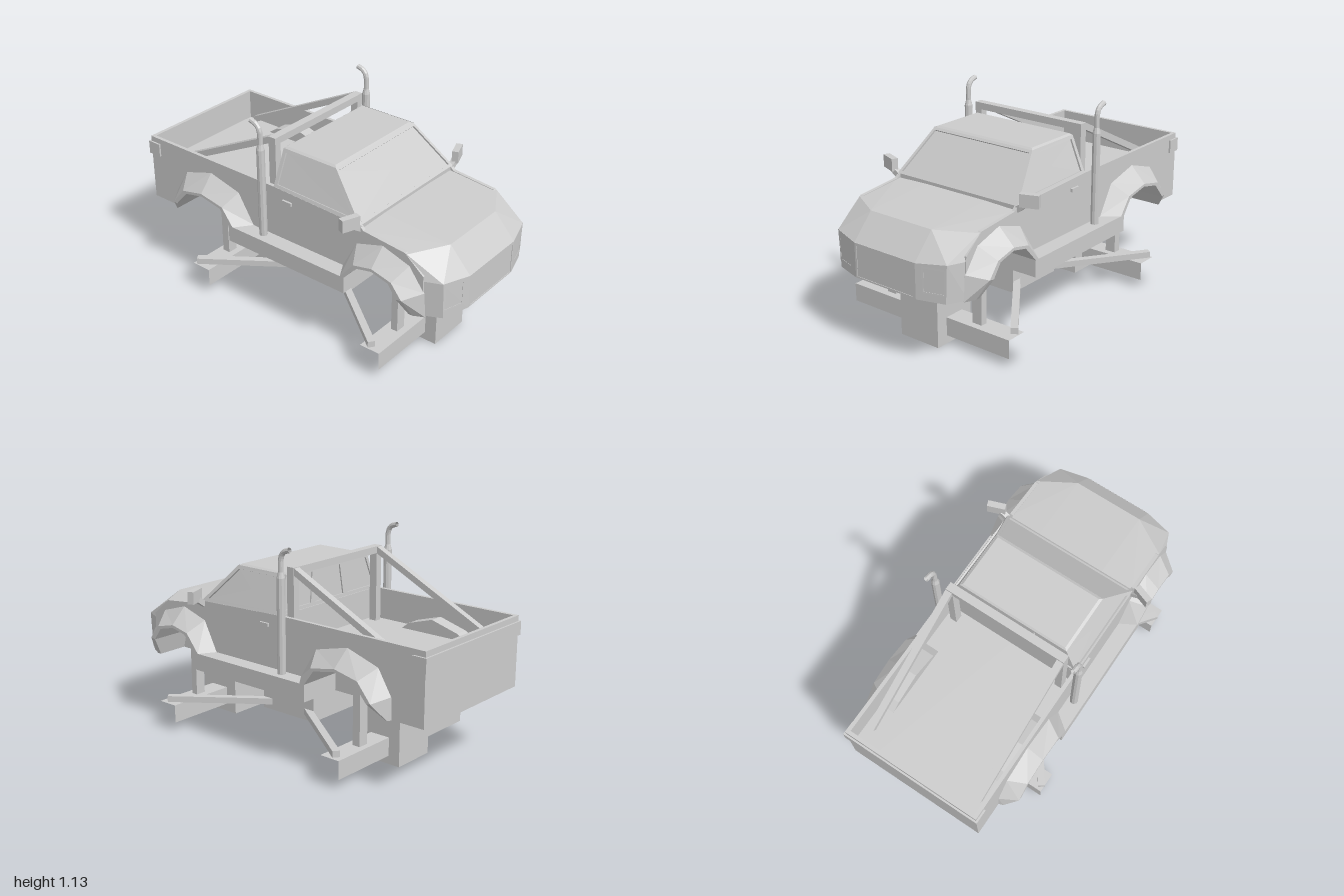
import * as THREE from 'three';
import { ConvexGeometry } from 'three/addons/geometries/ConvexGeometry.js';

const V = (x, y, z) => new THREE.Vector3(x, y, z);
const mat = new THREE.MeshStandardMaterial({ color: 0xcccccc, flatShading: true });
const matDouble = new THREE.MeshStandardMaterial({ color: 0xcccccc, flatShading: true, side: THREE.DoubleSide });

function add(parent, name, geometry, material = mat) {
  const mesh = new THREE.Mesh(geometry, material);
  mesh.name = name;
  parent.add(mesh);
  return mesh;
}

// Box given by its min and max on each axis
function box(parent, name, x0, x1, y0, y1, z0, z1) {
  const g = new THREE.BoxGeometry(x1 - x0, y1 - y0, z1 - z0);
  return add(parent, name, g.translate((x0 + x1) / 2, (y0 + y1) / 2, (z0 + z1) / 2));
}

// Side outline of [z, y] points, extruded between two x positions
function sideExtrude(points, x0, x1, hole) {
  const shape = new THREE.Shape(points.map(p => new THREE.Vector2(...p)));
  if (hole) shape.holes.push(new THREE.Path(hole.map(p => new THREE.Vector2(...p))));
  const g = new THREE.ExtrudeGeometry(shape, { depth: x1 - x0, bevelEnabled: false });
  return g.rotateY(-Math.PI / 2).translate(x1, 0, 0);
}

// Convex solid, symmetric in x, from points on the +x half
function symmetricHull(points) {
  return new ConvexGeometry(points.flatMap(([x, y, z]) => [V(x, y, z), V(-x, y, z)]));
}

// Square bar between two points
function bar(parent, name, a, b, w, h = w) {
  const mesh = add(parent, name, new THREE.BoxGeometry(w, h, a.distanceTo(b)));
  mesh.position.copy(a).lerp(b, 0.5);
  mesh.lookAt(b);
  return mesh;
}

// Surface through rows of points
function loft(rows, closed = false) {
  const n = rows[0].length, index = [];
  for (let i = 0; i + 1 < rows.length; i++)
    for (let j = 0; j < (closed ? n : n - 1); j++) {
      const a = i * n + j, b = i * n + (j + 1) % n;
      index.push(a, b, b + n, a, b + n, a + n);
    }
  return { points: rows.flat(), index };
}
function toGeometry({ points, index }) {
  const g = new THREE.BufferGeometry().setFromPoints(points);
  g.setIndex(index);
  const flat = g.toNonIndexed();
  flat.computeVertexNormals();
  return flat;
}

// Four-cornered frame (counter-clockwise from outside) with a recessed pane
function framedPane(parent, name, corners, border, depth) {
  const centre = corners.reduce((s, c) => s.add(c), V(0, 0, 0)).multiplyScalar(0.25);
  const normal = corners[1].clone().sub(corners[0]).cross(corners[3].clone().sub(corners[0])).normalize();
  const inner = corners.map((c, i) => {
    const u = corners[(i + 1) % 4].clone().sub(c).normalize();
    const v = corners[(i + 3) % 4].clone().sub(c).normalize();
    return c.clone().addScaledVector(u.add(v), border / Math.max(0.3, u.clone().cross(v).length() || 1));
  });
  const sunk = inner.map(c => c.clone().addScaledVector(normal, -depth));
  const mid = centre.addScaledVector(normal, -depth);
  add(parent, name, toGeometry(loft([corners, inner, sunk, sunk.map(() => mid.clone())], true)), matDouble);
}

export function createModel() {
  const model = new THREE.Group();
  model.name = 'pickupTruck';

  // Wheel arch outlines as [z, y], front to back
  const frontInner = [[0.8, 0.375], [0.77, 0.48], [0.72, 0.55], [0.62, 0.575], [0.53, 0.555], [0.45, 0.467]];
  const frontOuter = [[0.88, 0.375], [0.87, 0.51], [0.78, 0.63], [0.62, 0.68], [0.46, 0.63], [0.375, 0.467]];
  const rearInner = [[-0.33, 0.467], [-0.39, 0.55], [-0.52, 0.575], [-0.64, 0.55], [-0.72, 0.46], [-0.79, 0.376]];
  const rearOuter = [[-0.23, 0.467], [-0.33, 0.63], [-0.53, 0.68], [-0.72, 0.62], [-0.8, 0.49], [-0.805, 0.375]];
  const bottomEdge = [[0.87, 0.375], ...frontInner, [0.45, 0.375], [-0.33, 0.375], ...rearInner];
  const sideOutline = [[-0.99, 0.375], [-0.99, 0.755], [-0.08, 0.755], [0.48, 0.735], [0.5, 0.715],
    [0.75, 0.69], [0.86, 0.6], ...bottomEdge];

  // Body floor, nose, hood and cab base
  box(model, 'floor', -0.25, 0.25, 0.375, 0.585, -0.985, 0.86);
  box(model, 'tailgate', -0.385, 0.385, 0.375, 0.755, -0.99, -0.97);
  add(model, 'nose', symmetricHull([[0.2, 0.375, 0.995], [0.35, 0.375, 0.95], [0.398, 0.375, 0.85],
    [0.2, 0.56, 0.995], [0.36, 0.575, 0.95], [0.398, 0.575, 0.85]]));
  add(model, 'hood', symmetricHull([[0.398, 0.574, 0.48], [0.398, 0.574, 0.86], [0.36, 0.574, 0.95],
    [0.2, 0.559, 0.995], [0.2, 0.69, 0.875], [0.398, 0.685, 0.76], [0.398, 0.712, 0.48], [0.2, 0.718, 0.48]]));
  add(model, 'cabBase', symmetricHull([[0.398, 0.576, 0.48], [0.398, 0.735, 0.48],
    [0.398, 0.75, -0.08], [0.398, 0.576, -0.08]]));

  // Grille and headlights
  framedPane(model, 'grille', [V(-0.19, 0.38, 0.999), V(0.19, 0.38, 0.999), V(0.19, 0.553, 0.999),
    V(-0.19, 0.553, 0.999)], 0.006, 0.003);

  // Greenhouse
  const base = s => [V(0.4 * s, 0.735, 0.48), V(0.4 * s, 0.752, -0.08)];
  const top = s => [V(0.325 * s, 0.95, 0.27), V(0.325 * s, 0.95, -0.07)];
  const [lf, lr] = base(1), [rf, rr] = base(-1), [tlf, tlr] = top(1), [trf, trr] = top(-1);
  framedPane(model, 'windshield', [rf, lf, tlf, trf], 0.016, 0.01);
  framedPane(model, 'leftWindow', [lf, lr, tlr, tlf], 0.02, 0.01);
  framedPane(model, 'rightWindow', [rr, rf, trf, trr], 0.02, 0.01);
  for (let i = 0; i < 3; i++) {
    const cut = (a, b, t) => a.clone().lerp(b, t / 3);
    framedPane(model, 'rearWindow', [cut(lr, rr, i), cut(lr, rr, i + 1), cut(tlr, trr, i + 1), cut(tlr, trr, i)], 0.018, 0.008);
  }
  add(model, 'roof', symmetricHull([[0.325, 0.948, 0.27], [0.325, 0.948, -0.07],
    [0.31, 0.957, 0.255], [0.31, 0.957, -0.06]]));

  // Parts that repeat on both sides, made for +x
  const side = new THREE.Group();
  side.name = 'leftSide';
  add(side, 'bodySide', sideExtrude(sideOutline, 0.38, 0.4));
  add(side, 'lowerBody', sideExtrude([[-0.98, 0.375], [-0.98, 0.585], [0.86, 0.585], ...bottomEdge], 0.25, 0.38));
  add(side, 'wheelHousing', sideExtrude([[-0.33, 0.58], [-0.38, 0.62], [-0.53, 0.665], [-0.69, 0.62], [-0.75, 0.58]], 0.3, 0.381));
  box(side, 'rockerStep', 0.39, 0.488, 0.375, 0.467, -0.33, 0.45);
  framedPane(side, 'headlight', [V(0.235, 0.415, 0.987), V(0.352, 0.415, 0.952), V(0.352, 0.55, 0.952),
    V(0.235, 0.55, 0.987)], 0.008, 0.003);

  // Flared fenders: body line, ridge, outer lip, inner lip
  const flare = (outer, inner, tip) => toGeometry(loft(outer.map(([z, y], i) => {
    const [iz, iy] = inner[i], w = i === tip ? 0.425 : 0.49;
    return [V(0.398, y, z), V(w, iy + (y - iy) * 0.15, iz + (z - iz) * 0.3), V(w, iy, iz), V(0.39, iy, iz)];
  })));
  add(side, 'frontFender', flare(frontOuter, frontInner, 0), matDouble);
  add(side, 'rearFender', flare(rearOuter, rearInner, 5), matDouble);

  // Mirror and door handle
  const mirror = add(side, 'mirror', new THREE.BoxGeometry(0.1, 0.068, 0.035));
  mirror.position.set(0.463, 0.775, 0.465);
  mirror.rotation.y = 0.35;
  bar(side, 'mirrorStalk', V(0.39, 0.715, 0.47), V(0.44, 0.75, 0.47), 0.03);
  box(side, 'doorHandle', 0.4, 0.412, 0.685, 0.703, -0.015, 0.045);
  box(side, 'tailCorner', 0.39, 0.41, 0.65, 0.725, -0.995, -0.92);

  // Exhaust stack
  const stack = [[0, 0.465], [0.022, 0.465], [0.022, 0.965], [0.014, 0.995], [0.014, 1.06]];
  add(side, 'exhaustStack', new THREE.LatheGeometry(stack.map(p => new THREE.Vector2(...p)), 10)
    .translate(0.433, 0, -0.13));
  const bend = new THREE.CatmullRomCurve3([V(0.433, 1.05, -0.13), V(0.433, 1.08, -0.137), V(0.433, 1.1, -0.155), V(0.433, 1.112, -0.19)]);
  add(side, 'exhaustTip', new THREE.TubeGeometry(bend, 6, 0.014, 8), matDouble);

  // Roll bar post and brace
  box(side, 'rollBarPost', 0.315, 0.355, 0.58, 1.0, -0.145, -0.1);
  bar(side, 'rollBarBrace', V(0.335, 0.985, -0.14), V(0.335, 0.62, -0.88), 0.038, 0.034);

  // Suspension struts and links
  box(side, 'frontStrut', 0.262, 0.322, 0.14, 0.56, 0.627, 0.665);
  box(side, 'rearStrut', 0.262, 0.322, 0.14, 0.56, -0.55, -0.505);
  bar(side, 'frontLink', V(0.16, 0.172, 0.18), V(0.515, 0.172, 0.65), 0.038, 0.034);
  bar(side, 'rearLink', V(0.16, 0.172, -0.06), V(0.515, 0.172, -0.56), 0.038, 0.034);
  model.add(side);
  const otherSide = side.clone();
  otherSide.name = 'rightSide';
  otherSide.scale.x = -1;
  model.add(otherSide);

  // Roll bar crosspiece and tailgate lip
  box(model, 'rollBarTop', -0.355, 0.355, 0.965, 1.003, -0.145, -0.1);
  const lip = new THREE.Shape();
  lip.moveTo(-0.41, 0.725).lineTo(-0.41, 0.65).quadraticCurveTo(0, 0.72, 0.41, 0.65).lineTo(0.41, 0.725);
  add(model, 'tailgateLip', new THREE.ExtrudeGeometry(lip, { depth: 0.012, bevelEnabled: false, curveSegments: 6 })
    .translate(0, 0, -1));

  // Gearbox, axle housings and open-ended axle beams
  box(model, 'gearbox', -0.18, 0.18, 0.125, 0.38, -0.12, 0.24);
  for (const [name, z] of [['front', 0.645], ['rear', -0.525]]) {
    const rect = (w, y0, y1) => [[z - w, y0], [z + w, y0], [z + w, y1], [z - w, y1]];
    add(model, name + 'AxleHousing', sideExtrude(rect(0.125, 0, 0.4), -0.125, 0.125, rect(0.058, 0.045, 0.145)));
    const beam = new THREE.CylinderGeometry(Math.SQRT1_2, Math.SQRT1_2, 1.05, 4, 1, true);
    beam.rotateY(Math.PI / 4).rotateZ(Math.PI / 2).scale(1, 0.1, 0.116).translate(0, 0.095, z);
    add(model, name + 'Axle', beam);
  }
  return model;
}
